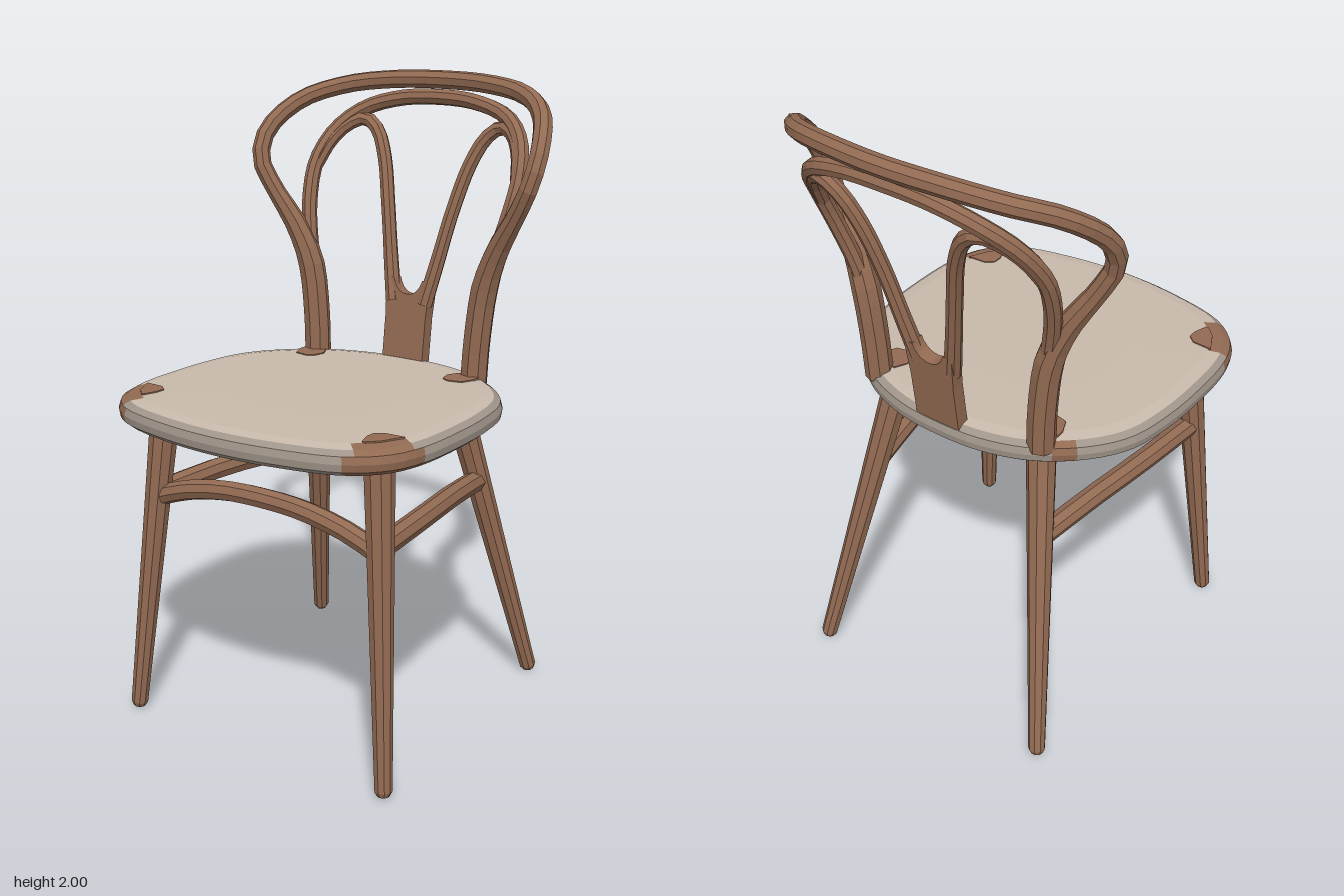
import * as THREE from 'three';

const V = (x, y, z) => new THREE.Vector3(x, y, z);
const mat = (name, color) => Object.assign(new THREE.MeshStandardMaterial({ color }), { name });

// faceted normals
function facet(geo) {
  const g = geo.index ? geo.toNonIndexed() : geo;
  g.computeVertexNormals();
  return g;
}

// tube along a smooth path whose radius follows rad(t)
function rod(points, rad, segs, sides = 8) {
  const curve = new THREE.CatmullRomCurve3(points);
  const geo = new THREE.TubeGeometry(curve, segs, 1, sides);
  const pos = geo.attributes.position, v = V(0, 0, 0);
  for (let i = 0; i <= segs; i++) {
    const c = curve.getPointAt(i / segs), r = rad(i / segs);
    for (let j = 0; j <= sides; j++) {
      const k = i * (sides + 1) + j;
      v.fromBufferAttribute(pos, k).sub(c).multiplyScalar(r).add(c);
      pos.setXYZ(k, v.x, v.y, v.z);
    }
  }
  return facet(geo);
}

// tapered leg with a chamfered foot, from foot to top
function legGeometry(foot, top) {
  const d = top.clone().sub(foot), L = d.length();
  const profile = [[0, 0], [0.019, 0], [0.027, 0.015], [0.038, L * 0.55], [0.046, L * 0.93], [0.046, L]];
  const geo = new THREE.LatheGeometry(profile.map(p => new THREE.Vector2(...p)), 9);
  geo.applyQuaternion(new THREE.Quaternion().setFromUnitVectors(V(0, 1, 0), d.normalize()));
  return facet(geo.translate(foot.x, foot.y, foot.z));
}

// path mirrored across x = 0; half runs from the +x end to the middle
const mirrored = half => {
  const pts = half.map(p => V(...p));
  return [...pts, ...pts.slice(0, -1).reverse().map(p => V(-p.x, p.y, p.z))];
};

function createModel() {
  const wood = mat('wood', 0x926a52);
  const seatTop = mat('seatTop', 0xc8baac);
  const seatRim = mat('seatRim', 0xa0958a);
  const seatUnder = mat('seatUnderside', 0x7a7065);
  const model = new THREE.Group();
  model.name = 'chair';
  const add = (name, geo, m = wood) => {
    const mesh = new THREE.Mesh(geo, m);
    mesh.name = name;
    model.add(mesh);
    return mesh;
  };

  // seat: rounded outline stacked in rings, hollowed below, joint patches picked out in wood
  const half = [[0.2, 0.599], [0.4, 0.545], [0.495, 0.46], [0.535, 0.35], [0.546, 0.15], [0.537, 0],
    [0.507, -0.14], [0.435, -0.25], [0.305, -0.355], [0.15, -0.41]];
  const loop = [[0, 0.616], ...half, [0, -0.422], ...half.slice().reverse().map(([x, z]) => [-x, z])];
  const N = 96;
  const outline = new THREE.CatmullRomCurve3(loop.map(([x, z]) => V(x, 0, z)), true).getSpacedPoints(N);
  const ring = (inset, y) => outline.map(p => {
    const s = 1 - inset / 0.52;
    return V(p.x * s, y, 0.1 + (p.z - 0.1) * s);
  });
  const rings = [ring(0.52, 1.045), ring(0.055, 1.04), ring(0.045, 1.003), ring(0.02, 1.003), ring(0.003, 1.018),
    ring(0, 1.04), ring(0.006, 1.062), ring(0.025, 1.075), ring(0.06, 1.081), ring(0.25, 1.083), ring(0.52, 1.083)];
  const faces = [[], [], [], []];
  for (let r = 0; r < rings.length - 1; r++) {
    for (let i = 0; i < N; i++) {
      const a = rings[r][i], b = rings[r][i + 1], c = rings[r + 1][i + 1], d = rings[r + 1][i];
      const ax = Math.abs(a.x + c.x) / 2, z = (a.z + c.z) / 2;
      const front = r > 1 && r < 8 && ax > 0.4 && z > 0.355;
      const rear = r > 2 && r < 7 && ax > 0.25 && Math.abs(z + 0.3) < 0.025;
      const slot = r === 0 ? 2 : front || rear ? 3 : r > 6 ? 0 : 1;
      faces[slot].push(a, b, c, a, c, d);
    }
  }
  const seatGeo = new THREE.BufferGeometry().setFromPoints(faces.flat());
  let start = 0;
  faces.forEach((f, i) => {
    seatGeo.addGroup(start, f.length, i);
    start += f.length;
  });
  seatGeo.computeVertexNormals();
  add('seat', seatGeo, [seatTop, seatRim, seatUnder, wood]);

  // thin wood inlays on top of the seat
  const inlay = (pts, side) => {
    const shape = new THREE.Shape(pts.map(([x, z]) => new THREE.Vector2(x * side, -z)));
    return new THREE.ExtrudeGeometry(shape, { depth: 0.006, bevelEnabled: false })
      .rotateX(-Math.PI / 2).translate(0, 1.079, 0);
  };
  const corner = [[0.475, 0.355], [0.41, 0.358], [0.385, 0.38], [0.385, 0.41], [0.4, 0.455], [0.41, 0.455], [0.442, 0.423]];
  const rear = [[0.25, -0.22], [0.275, -0.205], [0.32, -0.215], [0.34, -0.26], [0.34, -0.3], [0.26, -0.3], [0.24, -0.26]];

  // mirrored parts
  for (const side of [1, -1]) {
    const n = side > 0 ? 'left' : 'right';
    const P = (x, y, z) => V(x * side, y, z);
    add(n + 'FrontInlay', inlay(corner, side));
    add(n + 'RearInlay', inlay(rear, side));
    add(n + 'FrontLeg', legGeometry(P(0.478, 0.01, 0.45), P(0.393, 1.05, 0.36)));
    add(n + 'BackLeg', legGeometry(P(0.44, 0.01, -0.518), P(0.265, 1.05, -0.258)));
    add(n + 'Stretcher', rod([P(0.415, 0.75, 0.38), P(0.39, 0.754, 0.1), P(0.355, 0.745, -0.12), P(0.32, 0.725, -0.33)],
      () => 0.035, 6));
    // splat arm curling over into the inner hoop
    add(n + 'SplatArm', rod([P(0.06, 1.26, -0.41), P(0.09, 1.4, -0.437), P(0.125, 1.57, -0.47), P(0.165, 1.72, -0.507),
      P(0.21, 1.805, -0.53), P(0.262, 1.838, -0.535), P(0.315, 1.818, -0.51), P(0.357, 1.765, -0.468),
      P(0.382, 1.69, -0.422)], t => 0.024 + 0.003 * Math.max(0, 1 - t * 4), 24));
  }

  // arched front stretcher
  add('frontStretcher', rod(mirrored([[0.41, 0.735, 0.385], [0.3, 0.775, 0.385], [0.15, 0.805, 0.385], [0, 0.812, 0.385]]),
    () => 0.032, 14));

  // outer hoop: stiles sweeping into the top rail, thicker near the seat
  add('outerHoop', rod(mirrored([[0.305, 1.05, -0.318], [0.312, 1.2, -0.322], [0.337, 1.38, -0.322], [0.387, 1.5, -0.308],
    [0.455, 1.61, -0.287], [0.505, 1.71, -0.275], [0.51, 1.8, -0.315], [0.455, 1.895, -0.425],
    [0.34, 1.945, -0.525], [0.18, 1.967, -0.575], [0, 1.972, -0.592]]),
    t => 0.03 + 0.014 * THREE.MathUtils.clamp((0.2 - Math.min(t, 1 - t)) / 0.09, 0, 1), 56));

  // inner hoop branching from the stiles
  add('innerHoop', rod(mirrored([[0.32, 1.32, -0.325], [0.35, 1.45, -0.34], [0.378, 1.58, -0.375], [0.385, 1.7, -0.425],
    [0.35, 1.8, -0.49], [0.27, 1.87, -0.545], [0.14, 1.908, -0.57], [0, 1.917, -0.577]]), () => 0.026, 44));

  // splat plate with a rounded notch between the arms
  const plate = new THREE.Shape();
  plate.moveTo(-0.078, 0);
  plate.lineTo(0.078, 0);
  plate.lineTo(0.078, 0.17);
  plate.lineTo(0.086, 0.29);
  plate.lineTo(0.055, 0.29);
  plate.quadraticCurveTo(0.04, 0.24, 0, 0.24);
  plate.quadraticCurveTo(-0.04, 0.24, -0.055, 0.29);
  plate.lineTo(-0.086, 0.29);
  plate.lineTo(-0.078, 0.17);
  const splat = add('splatPlate', new THREE.ExtrudeGeometry(plate, { depth: 0.044, bevelEnabled: false, curveSegments: 5 })
    .translate(0, 0, -0.022));
  splat.position.set(0, 1.05, -0.39);
  splat.rotation.x = -0.12;

  return model;
}

export { createModel };
